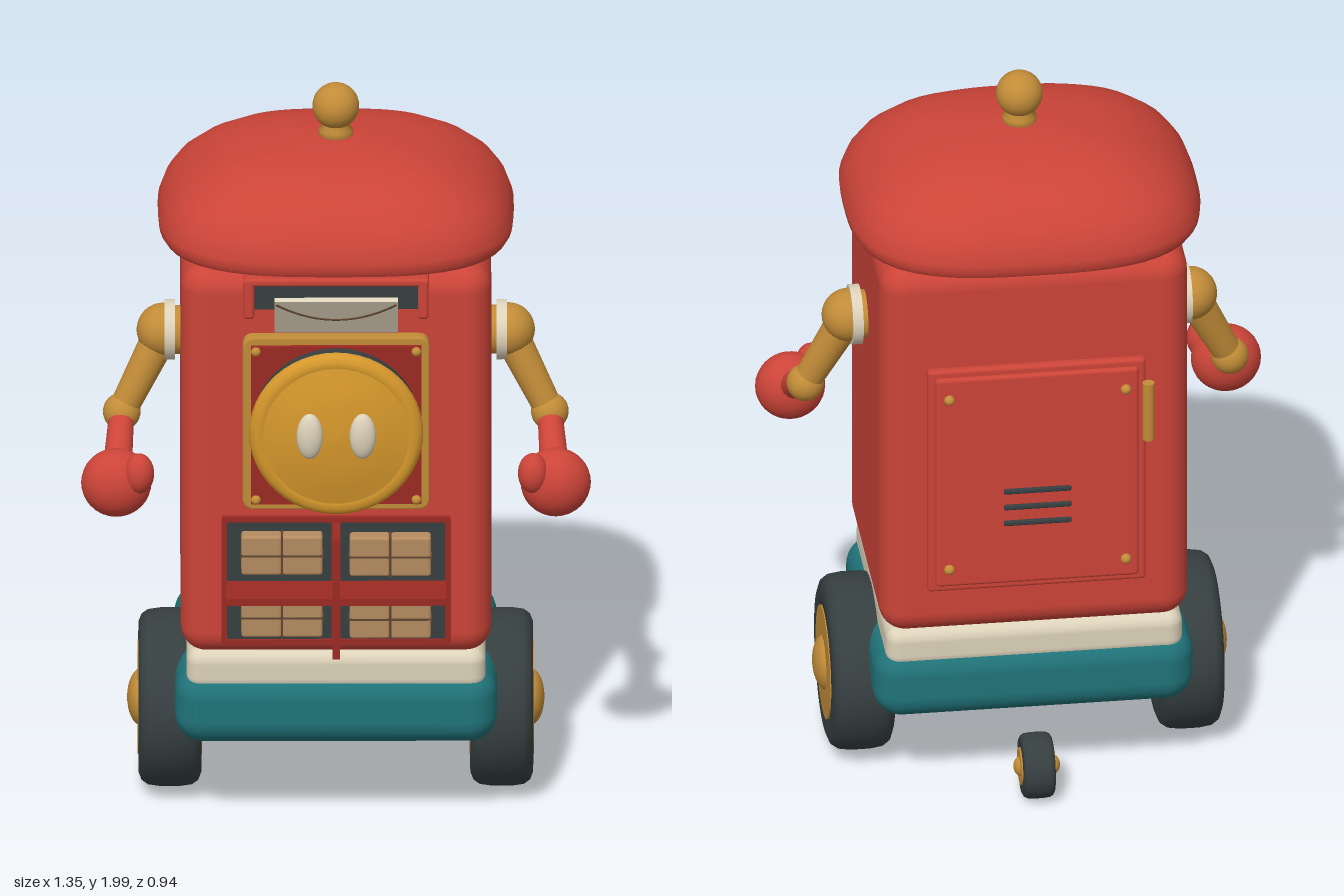
import * as THREE from 'three';
import { mergeVertices } from 'three/addons/utils/BufferGeometryUtils.js';
import { RoundedBoxGeometry } from 'three/addons/geometries/RoundedBoxGeometry.js';

const mat = (name, color) => Object.assign(new THREE.MeshStandardMaterial({ color }), { name });
const V = (x, y, z) => new THREE.Vector3(x, y, z);
const CZ = -0.025; // depth centre of the body

export function createModel() {
  const red = mat('red', 0xcc4438), darkRed = mat('dark red', 0x9c2a24);
  const teal = mat('teal', 0x20747a), cream = mat('cream', 0xddd2ba);
  const brass = mat('brass', 0xc28c38), gold = mat('face gold', 0xd6982c);
  const dark = mat('charcoal', 0x363f40), card = mat('cardboard', 0xb58b60);
  const twine = mat('twine', 0x5e4630);
  const root = new THREE.Group();
  root.name = 'deliveryRobot';

  const add = (name, geo, m, x = 0, y = 0, z = 0, parent = root) => {
    const mesh = new THREE.Mesh(geo, m);
    mesh.name = name;
    mesh.position.set(x, y, z);
    parent.add(mesh);
    return mesh;
  };
  const box = (w, h, d) => new THREE.BoxGeometry(w, h, d);
  const rbox = (w, h, d, r, s = 3) => new RoundedBoxGeometry(w, h, d, s, r);
  const ball = (r) => new THREE.SphereGeometry(r, 28, 18);
  const lathe = (pts, seg = 48) =>
    new THREE.LatheGeometry(pts.map(([r, y]) => new THREE.Vector2(r, y)), seg);
  const disc = (r, h, axis) => {
    const g = new THREE.CylinderGeometry(r, r, h, 40);
    return axis === 'x' ? g.rotateZ(-Math.PI / 2) : axis === 'z' ? g.rotateX(Math.PI / 2) : g;
  };
  // tapered limb between two points
  const limb = (name, a, b, ra, rb, m, parent) => {
    const mesh = add(name, new THREE.CylinderGeometry(rb, ra, a.distanceTo(b), 24), m, 0, 0, 0, parent);
    mesh.position.copy(a).lerp(b, 0.5);
    mesh.quaternion.setFromUnitVectors(V(0, 1, 0), b.clone().sub(a).normalize());
  };

  // cabinet, band and base
  add('body', rbox(0.82, 1.11, 0.69, 0.07, 5), red, 0, 1.055, CZ);
  add('waistBand', rbox(0.79, 0.12, 0.67, 0.04), cream, 0, 0.455, CZ);
  add('base', rbox(0.85, 0.21, 0.7, 0.075, 5), teal, 0, 0.345, CZ);

  // domed lid: a lathe squared off by a superellipse rule
  const square = (geo) => {
    const p = geo.attributes.position;
    for (let i = 0; i < p.count; i++) {
      const x = p.getX(i), z = p.getZ(i), r = Math.hypot(x, z);
      if (r < 1e-6) continue;
      const k = Math.pow(Math.abs(x / r) ** 3 + Math.abs(z / r) ** 3, -1 / 3);
      p.setX(i, x * k * 0.47);
      p.setZ(i, z * k * 0.405);
    }
    geo.deleteAttribute('normal');
    geo.deleteAttribute('uv');
    const g = mergeVertices(geo, 1e-4);
    g.computeVertexNormals();
    return g;
  };
  add('lid', square(lathe([[0.975, 1.61], [0.995, 1.625], [1, 1.65], [0.965, 1.695], [0.9, 1.738],
    [0.79, 1.78], [0.63, 1.82], [0.46, 1.84], [0.25, 1.854], [0, 1.86]], 64)), red, 0, 0, CZ - 0.005);
  add('lidUnderside', square(lathe([[0, 1.61], [0.975, 1.61]], 64)), red, 0, 0, CZ - 0.005);
  add('knobStem', lathe([[0, 1.84], [0.045, 1.84], [0.045, 1.872], [0.036, 1.878], [0.036, 1.91]], 28), brass, 0, 0, CZ);
  add('knob', ball(0.062), brass, 0, 1.938, CZ);

  // face: square frame, plate, backing disc, domed dial and eyes
  const face = new THREE.Group();
  face.name = 'face';
  face.position.set(0, 1.185, 0);
  root.add(face);
  const roundRect = (S, h, r) => {
    const s = new S();
    s.moveTo(-h + r, -h).lineTo(h - r, -h).quadraticCurveTo(h, -h, h, -h + r);
    s.lineTo(h, h - r).quadraticCurveTo(h, h, h - r, h).lineTo(-h + r, h);
    s.quadraticCurveTo(-h, h, -h, h - r).lineTo(-h, -h + r).quadraticCurveTo(-h, -h, -h + r, -h);
    return s;
  };
  const frame = roundRect(THREE.Shape, 0.241, 0.025);
  frame.holes.push(roundRect(THREE.Path, 0.222, 0.015));
  add('faceFrame', new THREE.ExtrudeGeometry(frame, { depth: 0.036, bevelThickness: 0.006,
    bevelSize: 0.006, bevelSegments: 2 }), brass, 0, 0, 0.31, face);
  add('facePlate', box(0.45, 0.45, 0.055), darkRed, 0, 0, 0.338, face);
  add('faceBacking', disc(0.222, 0.035, 'z'), dark, 0, 0, 0.38, face);
  add('faceDial', lathe([[0, 0.394], [0.226, 0.394], [0.23, 0.402], [0.226, 0.418], [0.212, 0.428],
    [0.194, 0.428], [0.192, 0.424], [0.15, 0.438], [0.08, 0.449], [0, 0.453]]).rotateX(Math.PI / 2), gold, 0, -0.005, 0, face);
  for (const s of [-1, 1]) {
    add('eye', ball(1).scale(0.035, 0.064, 0.024), cream, s * 0.07, 0.005, 0.45, face);
    for (const t of [-1, 1]) add('faceRivet', ball(0.013), brass, s * 0.212, t * 0.212, 0.366, face);
  }

  // letter slot with hood and a tilted letter
  add('letterSlot', box(0.44, 0.085, 0.02), dark, 0, 1.547, 0.322);
  add('slotHood', rbox(0.49, 0.022, 0.06, 0.008), red, 0, 1.597, 0.347);
  for (const s of [-1, 1]) add('slotBracket', rbox(0.028, 0.115, 0.045, 0.01), red, s * 0.23, 1.55, 0.355);
  const letter = new THREE.Group();
  letter.name = 'letter';
  letter.position.set(0, 1.527, 0.425);
  letter.rotation.x = Math.atan2(0.065, 0.115);
  root.add(letter);
  add('envelope', box(0.325, 0.132, 0.014), cream, 0, 0, 0, letter);
  const fold = new THREE.QuadraticBezierCurve3(V(-0.16, 0.055, 0.008), V(0, -0.075, 0.008), V(0.16, 0.055, 0.008));
  add('envelopeFold', new THREE.TubeGeometry(fold, 20, 0.003, 6), twine, 0, 0, 0, letter);

  // parcel rack
  add('rackFrame', box(0.6, 0.355, 0.03), darkRed, 0, 0.727, 0.308);
  for (const y of [0.552, 0.902]) add('rackRail', box(0.6, 0.014, 0.03), darkRed, 0, y, 0.32);
  for (const s of [-1, 1]) add('rackSide', box(0.014, 0.355, 0.03), darkRed, s * 0.296, 0.727, 0.32);
  add('rackShelf', box(0.58, 0.02, 0.14), darkRed, 0, 0.715, 0.381);
  add('rackDivider', box(0.02, 0.34, 0.14), darkRed, 0, 0.722, 0.381);
  for (const s of [-1, 1]) for (const y of [0.81, 0.632]) {
    add('compartmentBack', box(0.276, y > 0.7 ? 0.17 : 0.148, 0.006), dark, s * 0.15, y, 0.325);
    const parcel = new THREE.Group();
    parcel.name = 'parcel';
    parcel.position.set(s * 0.143, y - 0.002 * s, 0.335);
    root.add(parcel);
    for (const t of [-1, 1]) add('parcelBox', rbox(0.107, 0.112, 0.064, 0.008, 2), card, t * 0.054, 0, 0, parcel);
    add('parcelString', box(0.006, 0.116, 0.068), twine, 0, 0, 0, parcel);
    add('parcelString', box(0.22, 0.005, 0.068), twine, 0, 0, 0, parcel);
  }

  // rear door with rivets, vents and hinge
  add('doorFrame', rbox(0.58, 0.67, 0.03, 0.01), red, 0, 0.98, -0.375);
  add('door', rbox(0.54, 0.63, 0.03, 0.01), red, 0, 0.98, -0.387);
  for (const x of [-0.235, 0.235]) for (const y of [0.72, 1.235])
    add('doorRivet', ball(0.014), brass, x, y, -0.405);
  for (let i = 0; i < 3; i++) add('vent', rbox(0.18, 0.015, 0.012, 0.005, 2), dark, 0, 0.85 + i * 0.048, -0.404);
  add('doorHinge', new THREE.CylinderGeometry(0.016, 0.016, 0.17, 20), brass, -0.295, 1.165, -0.404);

  // wheels
  const wheel = (name, r, w, hub, cap, out, x, y, z) => {
    const g = new THREE.Group();
    g.name = name;
    g.position.set(x, y, z);
    root.add(g);
    const c = w * 0.3;
    add('tyre', lathe([[0, -w * 0.9], [hub, -w * 0.9], [hub * 1.05, -w], [r * 0.84, -w], [r * 0.93, -w * 0.9],
      [r * 0.98, -w + c], [r, -w * 0.3], [r, w * 0.3], [r * 0.98, w - c], [r * 0.93, w * 0.9],
      [r * 0.84, w], [hub * 1.05, w], [hub, w * 0.9], [0, w * 0.9]]).rotateZ(-Math.PI / 2), dark, 0, 0, 0, g);
    for (const s of [-1, 1]) {
      add('hub', disc(hub, 0.012, 'x'), brass, s * w * 0.95, 0, 0, g);
      add('hubCap', ball(1).scale(out - w * 0.9, cap, cap), brass, s * w * 0.9, 0, 0, g);
    }
  };
  for (const s of [-1, 1]) wheel('wheel', 0.236, 0.083, 0.152, 0.076, 0.113, s * 0.438, 0.245, CZ);
  wheel('casterWheel', 0.088, 0.042, 0.05, 0.028, 0.062, 0, 0.096, -0.382);

  // arms
  for (const s of [-1, 1]) {
    const arm = new THREE.Group();
    arm.name = s > 0 ? 'leftArm' : 'rightArm';
    root.add(arm);
    const shoulder = V(s * 0.455, 1.297, CZ), elbow = V(s * 0.565, 1.078, 0.012), hand = V(s * 0.58, 0.958, 0.21);
    add('shoulderRing', disc(0.08, 0.028, 'x'), cream, s * 0.438, 1.297, CZ, arm);
    add('shoulderMount', disc(0.065, 0.05, 'x'), brass, s * 0.415, 1.297, CZ, arm);
    add('shoulder', ball(0.071), brass, ...shoulder, arm);
    limb('upperArm', shoulder, elbow, 0.048, 0.038, brass, arm);
    add('elbow', ball(0.05), brass, ...elbow, arm);
    limb('forearm', elbow, hand, 0.033, 0.04, red, arm);
    add('fist', ball(1).scale(0.093, 0.093, 0.078), red, ...hand, arm);
    add('thumb', ball(1).scale(0.04, 0.055, 0.042), red, s * 0.52, 1.0, 0.25, arm);
  }
  return root;
}
